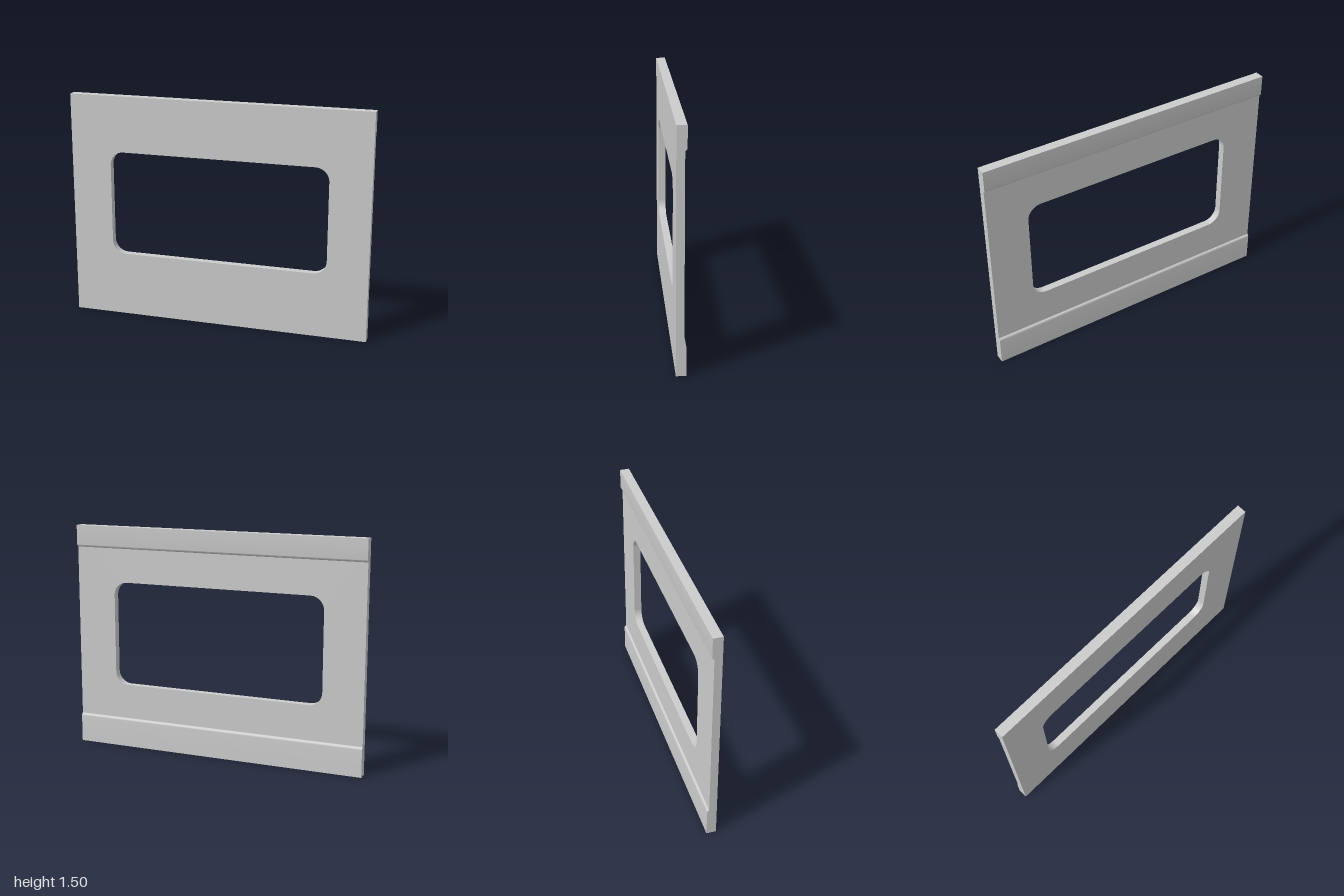
import * as THREE from 'three';
import { toCreasedNormals } from 'three/addons/utils/BufferGeometryUtils.js';

const W = 2, H = 1.5;
const FRONT = 0.031, BACK = -0.018, RAIL_BACK = -0.031;
const material = new THREE.MeshStandardMaterial({ color: 0xcccccc });

function extrude(shape, depth) {
  const geo = new THREE.ExtrudeGeometry(shape, { depth, bevelEnabled: false, curveSegments: 12 });
  return toCreasedNormals(geo, 0.6);
}

function addMesh(group, geo, name) {
  const mesh = new THREE.Mesh(geo, material);
  mesh.name = name;
  group.add(mesh);
}

// Rounded rectangular opening
function roundedOpening(x, y0, y1, r) {
  const p = new THREE.Path();
  p.absarc(x - r, y1 - r, r, 0, Math.PI / 2);
  p.absarc(-x + r, y1 - r, r, Math.PI / 2, Math.PI);
  p.absarc(-x + r, y0 + r, r, Math.PI, Math.PI * 1.5);
  p.absarc(x - r, y0 + r, r, Math.PI * 1.5, Math.PI * 2);
  p.closePath();
  return p;
}

// Rail profile in the side plane (shape x = -z), rounded on its inner edge
function railGeometry(edgeY, innerY) {
  const s = Math.sign(innerY - edgeY);
  const shape = new THREE.Shape();
  shape.moveTo(-BACK, edgeY);
  shape.lineTo(-RAIL_BACK, edgeY);
  shape.lineTo(-RAIL_BACK, innerY - s * 0.02);
  shape.quadraticCurveTo(-RAIL_BACK, innerY - s * 0.005, -BACK, innerY);
  shape.closePath();
  return extrude(shape, W).rotateY(Math.PI / 2).translate(-W / 2, 0, 0);
}

export function createModel() {
  const group = new THREE.Group();
  group.name = 'windowPanel';

  // Flat plate with the window opening
  const plate = new THREE.Shape([
    new THREE.Vector2(-W / 2, 0), new THREE.Vector2(W / 2, 0),
    new THREE.Vector2(W / 2, H), new THREE.Vector2(-W / 2, H),
  ]);
  plate.holes.push(roundedOpening(0.73, 0.43, 1.13, 0.09));
  addMesh(group, extrude(plate, FRONT - BACK).translate(0, 0, BACK), 'plate');

  // Thickened rails along the back
  addMesh(group, railGeometry(0, 0.197), 'bottomRail');
  addMesh(group, railGeometry(H, 1.355), 'topRail');
  return group;
}
